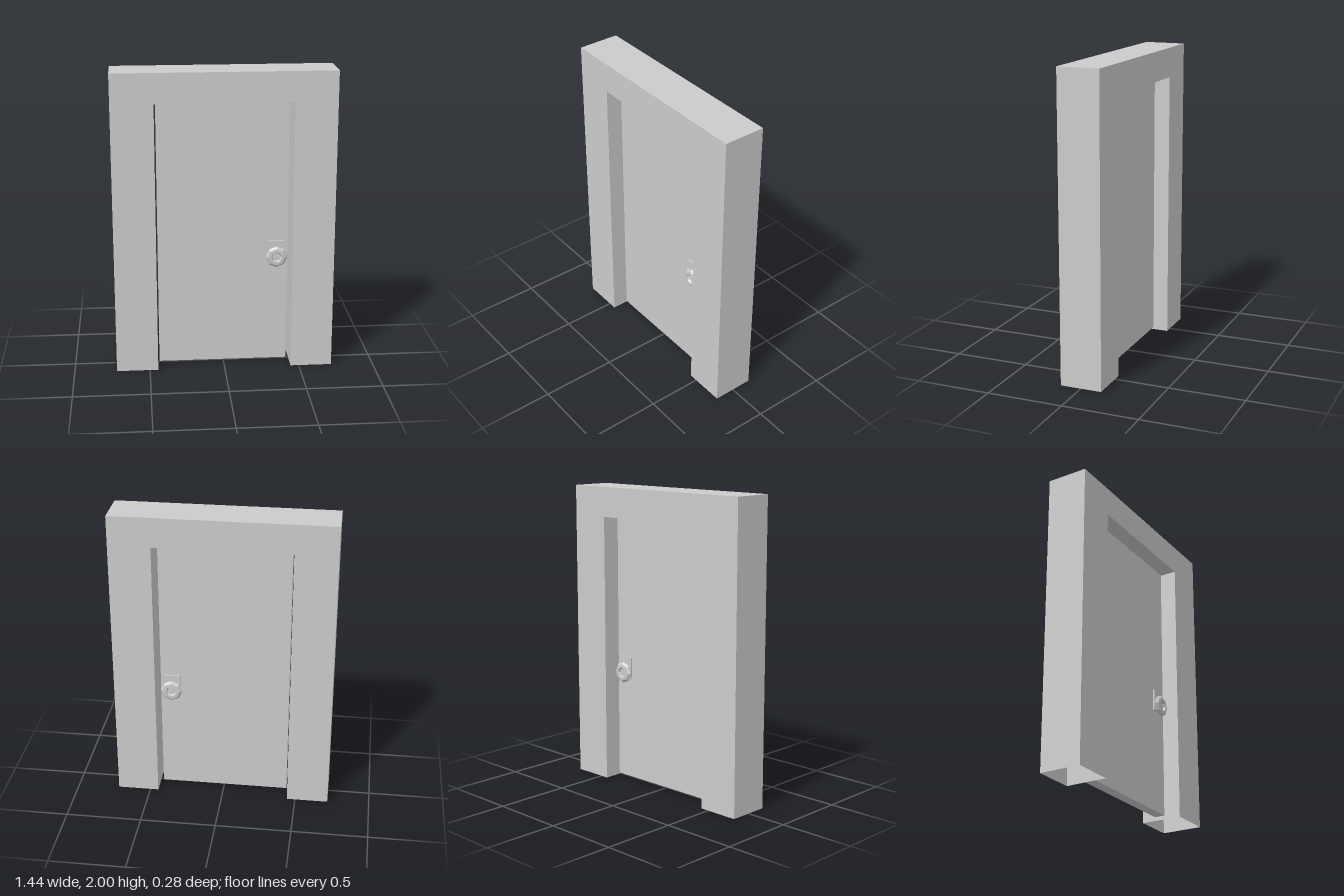
import * as THREE from 'three';

const grey = new THREE.MeshStandardMaterial({ color: 0xcccccc, flatShading: true, side: THREE.DoubleSide });

function addMesh(parent, name, geometry, x = 0, y = 0, z = 0) {
  const mesh = new THREE.Mesh(geometry, grey);
  mesh.name = name;
  mesh.position.set(x, y, z);
  parent.add(mesh);
  return mesh;
}

// Hollow frame: an extruded arch whose two feet are left open underneath
function frameGeometry(halfWidth, height, halfOpening, openingTop, depth) {
  const outline = [
    [-halfWidth, 0], [-halfOpening, 0], [-halfOpening, openingTop], [halfOpening, openingTop],
    [halfOpening, 0], [halfWidth, 0], [halfWidth, height], [-halfWidth, height],
  ].map(([x, y]) => new THREE.Vector2(x, y));
  const solid = new THREE.ExtrudeGeometry(new THREE.Shape(outline), { depth, bevelEnabled: false });
  solid.translate(0, 0, -depth / 2);
  const p = solid.attributes.position;
  const kept = [];
  for (let i = 0; i < p.count; i += 3) {
    const onFloor = [0, 1, 2].every((k) => p.getY(i + k) < 1e-5);
    if (onFloor) continue;
    for (let k = 0; k < 3; k++) kept.push(p.getX(i + k), p.getY(i + k), p.getZ(i + k));
  }
  const open = new THREE.BufferGeometry();
  open.setAttribute('position', new THREE.Float32BufferAttribute(kept, 3));
  open.computeVertexNormals();
  return open;
}

// Backing plate and eight-sided knob with a recessed centre, facing +z
function createHandle(name, doorFace) {
  const handle = new THREE.Group();
  handle.name = name;
  addMesh(handle, 'handlePlate', new THREE.BoxGeometry(0.112, 0.145, 0.012), 0, 0.785, doorFace + 0.005);
  const profile = [
    [0.03, 0], [0.035, 0.012], [0.066, 0.018], [0.072, 0.028], [0.058, 0.042],
    [0.036, 0.044], [0.028, 0.03], [0, 0.03],
  ].map(([r, h]) => new THREE.Vector2(r, h));
  const knob = new THREE.LatheGeometry(profile, 8);
  knob.rotateX(Math.PI / 2);
  addMesh(handle, 'knob', knob, 0, 0.753, doorFace);
  return handle;
}

export function createModel() {
  const model = new THREE.Group();
  model.name = 'doorway';

  addMesh(model, 'doorFrame', frameGeometry(0.72, 2, 0.445, 1.803, 0.275));

  // Door leaf, with a narrow gap all round
  const doorFace = 0.036;
  addMesh(model, 'doorLeaf', new THREE.BoxGeometry(0.856, 1.775, doorFace * 2), -0.005, 0.906, 0);

  // One handle on each face of the leaf
  const front = createHandle('frontHandle', doorFace);
  const back = createHandle('backHandle', doorFace);
  back.rotation.y = Math.PI;
  for (const handle of [front, back]) {
    handle.position.x = 0.348;
    model.add(handle);
  }
  return model;
}
